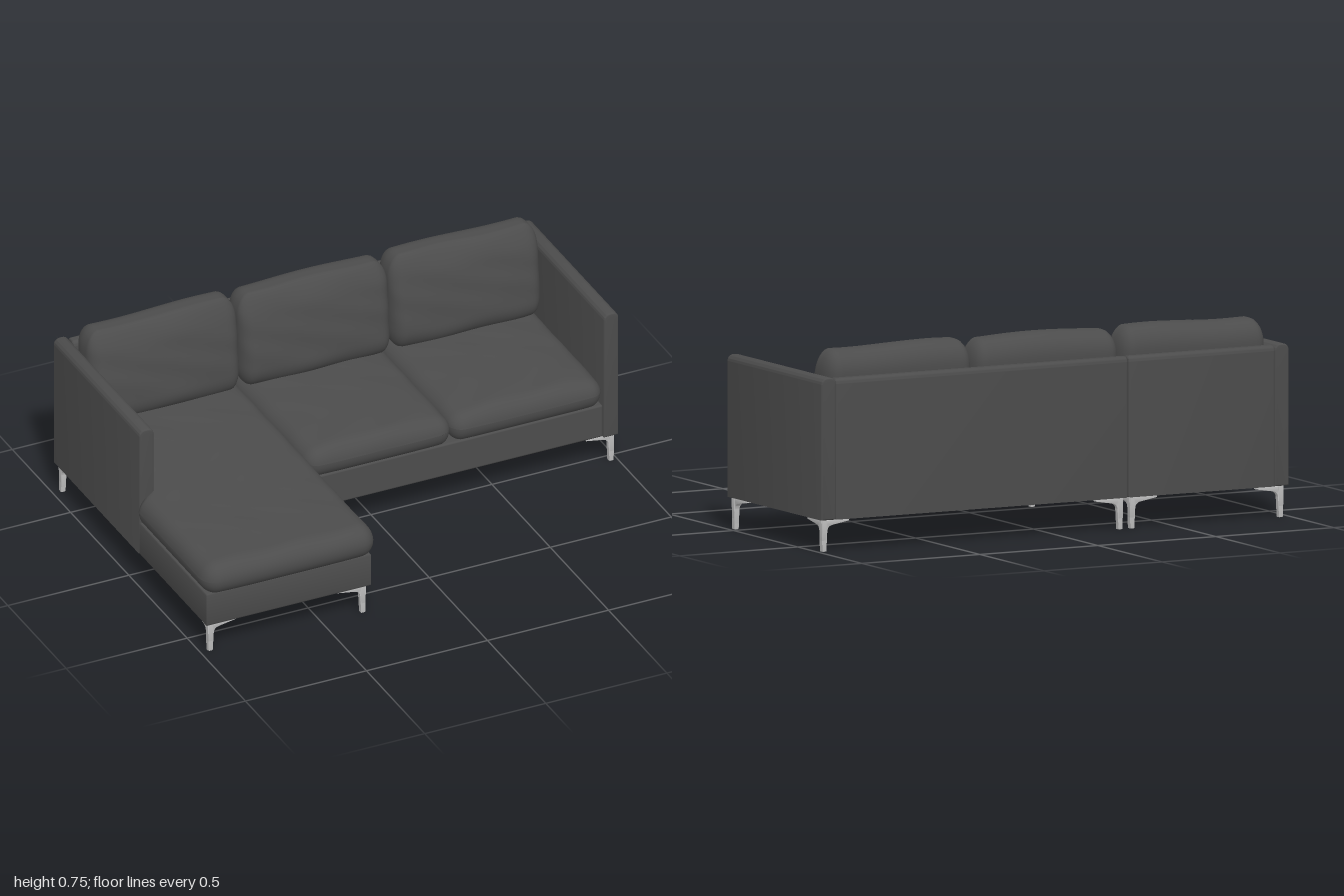
import * as THREE from 'three';
import { mergeVertices, toCreasedNormals } from 'three/addons/utils/BufferGeometryUtils.js';
import { RoundedBoxGeometry } from 'three/addons/geometries/RoundedBoxGeometry.js';

export function createModel() {
  const model = new THREE.Group();
  model.name = 'cornerSofa';
  const material = (name, color) => {
    const m = new THREE.MeshStandardMaterial({ color });
    m.name = name;
    return m;
  };
  const fabric = material('charcoal fabric', 0x4c4c4c);
  const metal = material('brushed metal', 0xc4c4c4);
  const lining = material('black lining', 0x1a1a1a);

  const add = (name, geometry, mat = fabric, parent = model) => {
    const mesh = new THREE.Mesh(geometry, mat);
    mesh.name = name;
    parent.add(mesh);
    return mesh;
  };

  // Box given by its limits, with softened edges
  const block = (name, [x0, x1], [y0, y1], [z0, z1], r, mat) => {
    const g = new RoundedBoxGeometry(x1 - x0, y1 - y0, z1 - z0, 3, r);
    add(name, g, mat).position.set((x0 + x1) / 2, (y0 + y1) / 2, (z0 + z1) / 2);
  };

  // Upright padded panel: rounded along the top, nearly square elsewhere
  const panel = (thickness, height, length) => {
    const b = 0.006, w = thickness / 2 - b, h = height - b, r = w * 0.8;
    const s = new THREE.Shape();
    s.moveTo(-w, b);
    s.lineTo(w, b);
    s.lineTo(w, h - r);
    s.absarc(w - r, h - r, r, 0, Math.PI / 2);
    s.absarc(-w + r, h - r, r, Math.PI / 2, Math.PI);
    s.closePath();
    const g = new THREE.ExtrudeGeometry(s, {
      depth: length - 2 * b, bevelSize: b, bevelThickness: b, bevelSegments: 3, curveSegments: 8,
    });
    g.translate(0, 0, -length / 2 + b);
    return toCreasedNormals(g, 0.7);
  };

  // Soft cushion: box grid with elliptical edges, then shaped by a rule
  const cushion = (name, [x0, x1], [y0, y1], [z0, z1], radii, shape) => {
    const size = [x1 - x0, y1 - y0, z1 - z0];
    const mid = [(x0 + x1) / 2, (y0 + y1) / 2, (z0 + z1) / 2];
    const n = size.map((s) => Math.max(14, Math.round(s / 0.014)));
    let g = new THREE.BoxGeometry(...size, ...n);
    g.deleteAttribute('uv');
    g.deleteAttribute('normal');
    g = mergeVertices(g);
    const pos = g.attributes.position;
    const p = new THREE.Vector3(), q = new THREE.Vector3();
    for (let i = 0; i < pos.count; i++) {
      p.fromBufferAttribute(pos, i);
      const v = p.toArray();
      const inner = v.map((c, k) => THREE.MathUtils.clamp(c, radii[k] - size[k] / 2, size[k] / 2 - radii[k]));
      q.fromArray(v.map((c, k) => (c - inner[k]) / radii[k])).normalize();
      p.fromArray(inner.map((c, k) => c + q.getComponent(k) * radii[k]));
      // u, t, s run from -1 to 1 across the cushion
      const u = p.x / size[0] * 2, t = p.y / size[1] * 2, s = p.z / size[2] * 2;
      p.add(q.fromArray(mid));
      shape(p, u, t, s);
      pos.setXYZ(i, p.x, p.y, p.z);
    }
    g.computeVertexNormals();
    add(name, g);
  };

  // Arms and back panels
  for (const [name, x] of [['leftArm', 0.965], ['rightArm', -0.955]]) {
    add(name, panel(0.06, 0.535, 0.74)).position.set(x, 0.12, -0.31);
  }
  for (const [name, x0, x1] of [['chaiseBack', -0.925, -0.306], ['seatBack', -0.302, 0.935]]) {
    const back = add(name, panel(0.05, 0.53, x1 - x0));
    back.rotation.y = Math.PI / 2;
    back.position.set((x0 + x1) / 2, 0.12, -0.655);
  }

  // Bases: the chaise widens in front of the right arm
  const L = new THREE.Shape([
    [-0.92, 0.66], [-0.92, -0.068], [-0.979, -0.068], [-0.979, -0.629], [-0.311, -0.629], [-0.311, 0.66],
  ].map(([x, y]) => new THREE.Vector2(x, y)));
  const chaise = new THREE.ExtrudeGeometry(L, { depth: 0.126, bevelSize: 0.006, bevelThickness: 0.006, bevelSegments: 3 });
  chaise.rotateX(-Math.PI / 2);
  add('chaiseBase', toCreasedNormals(chaise, 0.7)).position.y = 0.126;
  block('seatBase', [-0.297, 0.935], [0.12, 0.258], [-0.66, 0.05], 0.008);
  block('chaiseLining', [-0.945, -0.33], [0.116, 0.124], [-0.65, 0.61], 0.002, lining);
  block('seatLining', [-0.27, 0.96], [0.116, 0.124], [-0.65, 0.025], 0.002, lining);

  // Seat cushions, sagging towards the seams with faint creases
  const crease = (p, k) => 0.0022 * Math.sin(p.x * 23 + k + 2 * Math.sin(p.z * 9)) * Math.sin(p.z * 17 + k);
  cushion('chaiseCushion', [-1, -0.287], [0.25, 0.384], [-0.62, 0.675], [0.06, 0.066, 0.07], (p, u, t, s) => {
    if (t > 0) p.y += crease(p, 1) - 0.008 * Math.abs(u) ** 6;
    p.z -= 0.008 * Math.max(0, s) * Math.abs(u) ** 4;
    const behindArm = 1 - THREE.MathUtils.smoothstep(p.z, 0.05, 0.08);
    p.x = THREE.MathUtils.lerp(p.x, Math.max(p.x, -0.925), behindArm);
  });
  [[-0.292, 0.312], [0.306, 0.936]].forEach((range, i) => {
    cushion('seatCushion' + (i + 1), range, [0.25, 0.384], [-0.62, 0.075], [0.05, 0.065, 0.06], (p, u, t, s) => {
      if (t > 0) {
        p.y += crease(p, i * 2) - 0.022 * Math.abs(u) ** 4 * t;
        p.y -= 0.01 * Math.max(0, s) ** 6;
      }
      p.z -= 0.008 * Math.max(0, s) * Math.abs(u) ** 6;
    });
  });

  // Back cushions: front face leans back towards the top
  [[-0.925, -0.307], [-0.302, 0.316], [0.32, 0.937]].forEach((range, i) => {
    cushion('backCushion' + (i + 1), range, [0.36, 0.748], [-0.64, -0.435], [0.045, 0.09, 0.08], (p, u, t, s) => {
      const rise = (t + 1) / 2;
      if (s > 0) p.z -= 0.06 * rise * rise * s;
      p.z -= 0.018 * Math.max(0, s) * Math.abs(u) ** 4;
      if (s > 0) p.z += 0.003 * Math.sin(p.x * 19 + i * 2 + 3 * Math.sin(p.y * 11)) * Math.sin(p.y * 25 + i);
      p.y += 0.005 * Math.max(0, t) * Math.sin(u * 3 + i * 1.5);
      p.x -= 0.008 * u * Math.max(0, t) ** 4;
    });
  });

  // Legs: two tapering brackets meeting at a slim post
  const profile = new THREE.Shape();
  profile.moveTo(-0.012, 0.118);
  profile.lineTo(-0.009, 0.004);
  profile.quadraticCurveTo(-0.008, 0, -0.004, 0);
  profile.lineTo(0.006, 0);
  profile.quadraticCurveTo(0.009, 0, 0.009, 0.004);
  profile.lineTo(0.013, 0.075);
  profile.quadraticCurveTo(0.014, 0.095, 0.035, 0.099);
  profile.lineTo(0.105, 0.111);
  profile.lineTo(0.105, 0.118);
  profile.closePath();
  const bracket = toCreasedNormals(new THREE.ExtrudeGeometry(profile, {
    depth: 0.016, bevelSize: 0.002, bevelThickness: 0.002, bevelSegments: 2, curveSegments: 6, bevelOffset: -0.002,
  }).translate(0, 0, -0.008), 0.7);
  const legs = [
    [-0.96, 0.61, 1], [-0.33, 0.61, 2], [-0.33, -0.653, 3], [-0.96, -0.653, 0],
    [-0.28, 0.03, 1], [0.975, 0.03, 2], [0.975, -0.653, 3], [-0.28, -0.653, 0],
  ];
  legs.forEach(([x, z, turns], i) => {
    const leg = new THREE.Group();
    leg.name = 'leg' + (i + 1);
    add('bracketAcross', bracket, metal, leg);
    add('bracketAlong', bracket, metal, leg).rotation.y = -Math.PI / 2;
    leg.position.set(x, 0, z);
    leg.rotation.y = turns * Math.PI / 2;
    model.add(leg);
  });

  return model;
}
